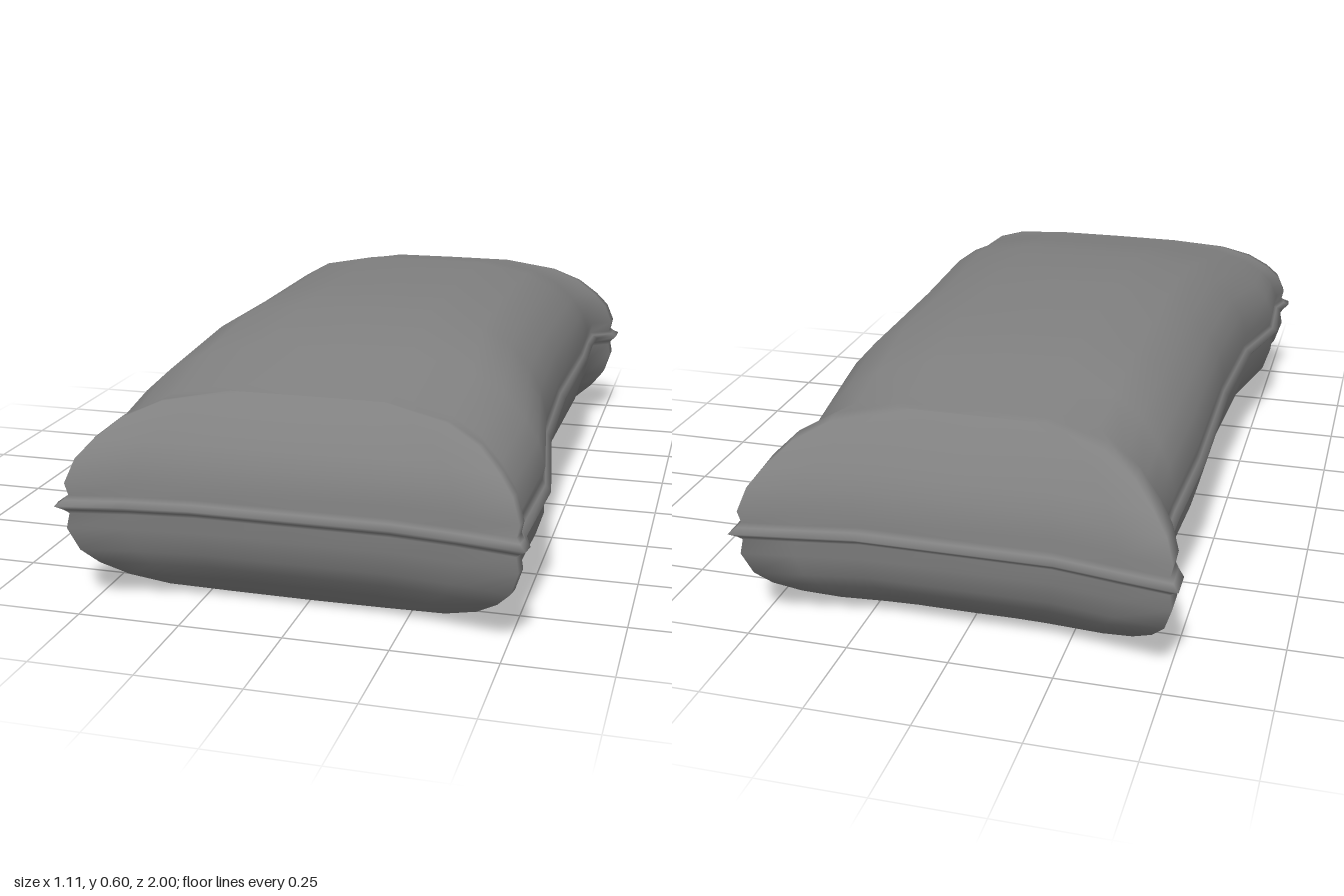
import * as THREE from 'three';
import { mergeVertices } from 'three/addons/utils/BufferGeometryUtils.js';

// Seam outline of the left half, from front centre round to back centre [x, z]
const HALF = [
  [0, 0.95], [0.24, 0.95], [0.4, 0.968], [0.548, 0.995], [0.553, 0.96], [0.535, 0.9],
  [0.55, 0.65], [0.505, 0.35], [0.49, 0], [0.495, -0.45], [0.478, -0.7], [0.474, -0.87],
  [0.53, -0.93], [0.53, -1], [0.4, -0.98], [0.24, -0.955], [0, -0.955],
];

// Rings from seam to spine: [inset in x, inset in z, rise above seam, drop below seam]
const RINGS = [
  [0.014, 0.015, 0.013, 0.013],
  [0.022, 0.024, 0.024, 0.024],
  [0.016, 0.02, 0.06, 0.06],
  [0.034, 0.038, 0.125, 0.12],
  [0.065, 0.062, 0.172, 0.16],
  [0.115, 0.1, 0.225, 0.203],
  [0.19, 0.135, 0.265, 0.237],
  [0.33, 0.165, 0.292, 0.261],
  [0.5, 0.165, 0.293, 0.262],
];

// 1 along the middle, falling to 0 at the ends, sooner at the front
const arch = (z) => THREE.MathUtils.clamp(z > 0 ? (0.79 - z) / 0.48 : (0.95 + z) / 0.57, 0, 1);

function cushionGeometry() {
  const mirrored = HALF.slice(1, -1).reverse().map(([x, z]) => [-x, z]);
  const outline = [...HALF, ...mirrored];
  const n = outline.length;

  // Levels run from the bottom spine, over the seam tip, to the top spine
  const below = RINGS.map(([dx, dz, , drop]) => [dx, dz, -drop]).reverse();
  const above = RINGS.map(([dx, dz, rise]) => [dx, dz, rise]);
  const levels = [...below, [0, 0, 0], ...above];

  const positions = [];
  const index = [];
  levels.forEach(([dx, dz, h], i) => {
    outline.forEach(([px, pz], j) => {
      // The pointed corners straighten out towards the spine
      const straight = THREE.MathUtils.clamp(pz, -0.955, 0.95);
      const edge = THREE.MathUtils.lerp(pz, straight, Math.min(1, dx / 0.33));
      const x = px * (1 - dx / 0.5);
      const z = edge * (1 - dz / 0.97);
      const a = arch(z);
      // The body bows upward and thins towards the ends
      const y = 0.262 + 0.05 * a + h * (h > 0 ? 0.84 + 0.16 * a : 1 + 0.04 * a);
      positions.push(x, y, z);
      if (i < levels.length - 1) {
        const k = (j + 1) % n;
        const p = i * n + j, q = i * n + k;
        index.push(p, q, q + n, p, q + n, p + n);
      }
    });
  });

  const raw = new THREE.BufferGeometry();
  raw.setAttribute('position', new THREE.Float32BufferAttribute(positions, 3));
  raw.setIndex(index);
  // Weld the two sides of each spine so shading is continuous
  const geometry = mergeVertices(raw, 1e-4);
  geometry.computeVertexNormals();
  return geometry;
}

export function createModel() {
  const group = new THREE.Group();
  group.name = 'stuffedBag';
  const material = new THREE.MeshStandardMaterial({ color: 0x808080 });
  const bag = new THREE.Mesh(cushionGeometry(), material);
  bag.name = 'bagWithSeam';
  group.add(bag);
  return group;
}
